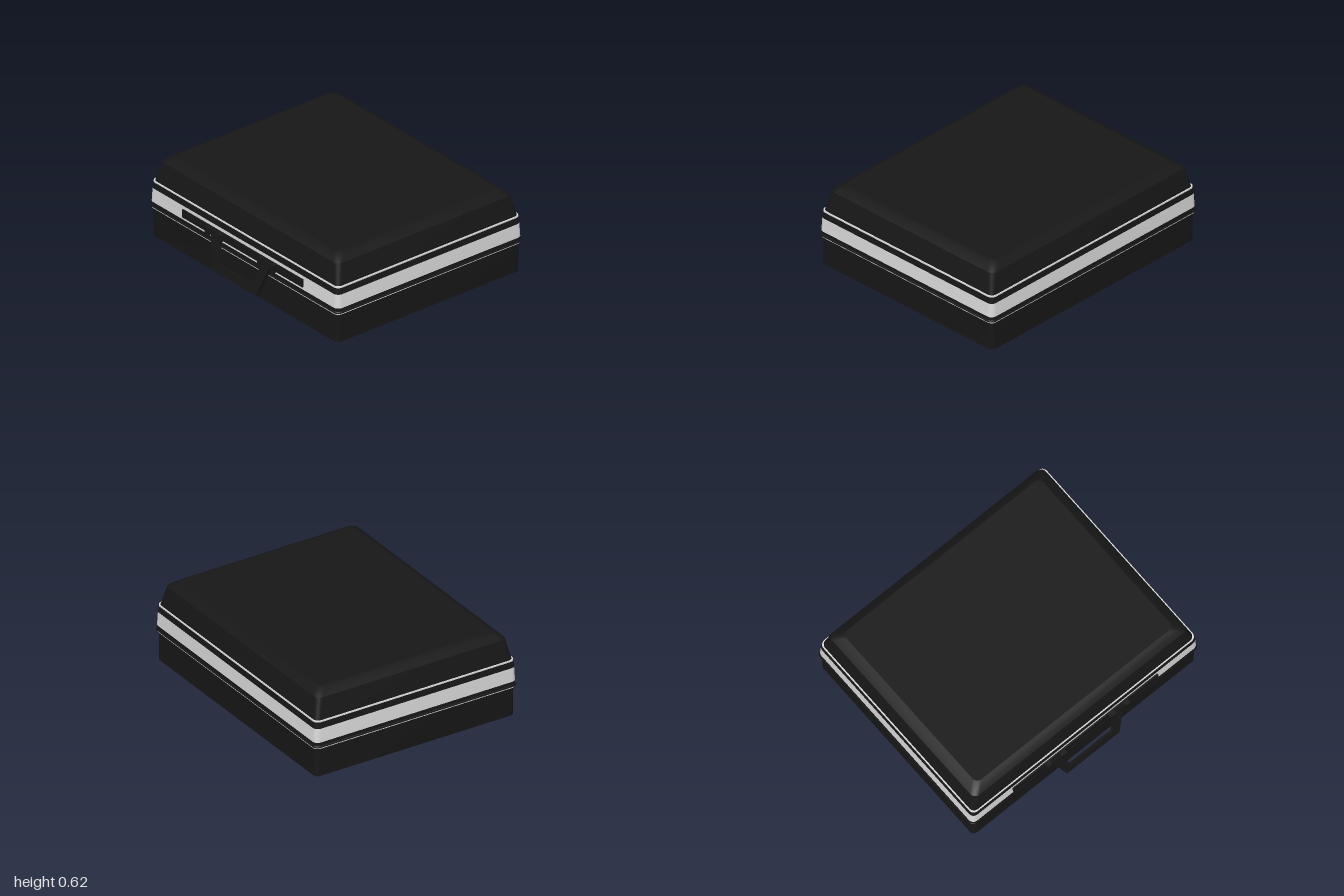
import * as THREE from 'three';
import { toCreasedNormals } from 'three/addons/utils/BufferGeometryUtils.js';

const CZ = -0.036; // centre of the case body in z

// Rounded rectangle ring, counter-clockwise seen from above
function ring([y, hx, hz, r]) {
  const pts = [], steps = 6;
  [[1, 1], [1, -1], [-1, -1], [-1, 1]].forEach(([sx, sz], c) => {
    for (let i = 0; i <= steps; i++) {
      const a = (1 - c - i / steps) * Math.PI / 2;
      pts.push([sx * (hx - r) + r * Math.cos(a), y, CZ + sz * (hz - r) + r * Math.sin(a)]);
    }
  });
  return pts;
}

// Skin stacked sections [y, halfX, halfZ, cornerRadius], listed upwards
function loft(sections, capBottom, capTop) {
  const rings = sections.map(ring), v = [], n = rings[0].length;
  const tri = (a, b, c) => v.push(...a, ...b, ...c);
  for (let i = 0; i < n; i++) {
    const j = (i + 1) % n;
    for (let k = 0; k + 1 < rings.length; k++) {
      const lo = rings[k], hi = rings[k + 1];
      tri(lo[i], lo[j], hi[j]);
      tri(lo[i], hi[j], hi[i]);
    }
    const first = rings[0], last = rings[rings.length - 1];
    if (capBottom) tri([0, first[0][1], CZ], first[j], first[i]);
    if (capTop) tri([0, last[0][1], CZ], last[i], last[j]);
  }
  const g = new THREE.BufferGeometry();
  g.setAttribute('position', new THREE.Float32BufferAttribute(v, 3));
  return toCreasedNormals(g, 0.3);
}

export function createModel() {
  const group = new THREE.Group();
  group.name = 'briefcase';
  const black = new THREE.MeshStandardMaterial({ color: 0x171717 });
  black.name = 'black shell';
  const silver = new THREE.MeshStandardMaterial({ color: 0xdadada });
  silver.name = 'silver trim';

  const add = (name, geometry, material, x = 0, y = 0, z = 0, parent = group) => {
    const m = new THREE.Mesh(geometry, material);
    m.name = name;
    m.position.set(x, y, z);
    parent.add(m);
    return m;
  };
  const box = (name, mat, w, h, d, x, y, z, parent) =>
    add(name, new THREE.BoxGeometry(w, h, d), mat, x, y, z, parent);

  // Shell, stacked from the ground up
  add('lowerShell', loft([
    [0, 0.978, 0.796, 0.035], [0.206, 0.98, 0.798, 0.035],
  ], true, false), black);
  add('lowerRim', loft([
    [0.206, 0.978, 0.796, 0.035], [0.206, 0.99, 0.805, 0.04], [0.217, 0.991, 0.806, 0.04],
  ]), black);
  add('lowerTrim', loft([[0.217, 0.991, 0.806, 0.04], [0.227, 0.991, 0.806, 0.04]]), silver);
  // overhanging lip, then the band above it
  add('lowerBand', loft([
    [0.227, 0.991, 0.806, 0.04], [0.227, 0.997, 0.811, 0.04], [0.235, 0.996, 0.81, 0.04],
    [0.24, 0.992, 0.807, 0.04], [0.265, 0.992, 0.807, 0.04],
  ]), black);
  add('silverBand', loft([[0.265, 0.992, 0.807, 0.04], [0.368, 0.987, 0.803, 0.04]]), silver);
  add('upperBand', loft([[0.368, 0.987, 0.803, 0.04], [0.414, 0.982, 0.799, 0.04]]), black);
  add('upperTrim', loft([
    [0.414, 0.982, 0.799, 0.04], [0.424, 0.981, 0.798, 0.04], [0.424, 0.973, 0.791, 0.04],
  ]), silver);
  add('lid', loft([
    [0.424, 0.973, 0.791, 0.04], [0.573, 0.938, 0.761, 0.045],
    [0.602, 0.9, 0.728, 0.045], [0.617, 0.865, 0.697, 0.045],
  ], false, true), black);

  // Lock plate across the front
  box('lockPlate', black, 1.27, 0.058, 0.02, -0.003, 0.315, 0.77);

  // Handle mounts, a pair of lugs on each side
  for (const s of [-1, 1]) {
    const mount = new THREE.Group();
    mount.name = s > 0 ? 'leftHandleMount' : 'rightHandleMount';
    group.add(mount);
    box('outerLug', black, 0.042, 0.054, 0.04, s * 0.342, 0.317, 0.79, mount);
    box('innerLug', black, 0.046, 0.054, 0.04, s * 0.215, 0.317, 0.79, mount);
    box('hingePin', black, 0.12, 0.018, 0.018, s * 0.278, 0.325, 0.788, mount);
  }

  // Hanging handle, tilted away from the case
  const outline = [
    [-0.318, 0], [-0.23, -0.27], [0.23, -0.27], [0.318, 0],
    [0.236, 0], [0.184, -0.206], [-0.184, -0.206], [-0.236, 0],
  ];
  const shape = new THREE.Shape(outline.map(([x, y]) => new THREE.Vector2(x, y)));
  const grip = new THREE.ExtrudeGeometry(shape, { depth: 0.018, bevelEnabled: false });
  // the back face slopes so the arms are thicker near the hinge
  const p = grip.attributes.position;
  for (let i = 0; i < p.count; i++) {
    if (p.getZ(i) < 0.01) p.setZ(i, -0.016 * (1 + p.getY(i) / 0.27));
  }
  grip.computeVertexNormals();
  add('handle', grip, black, 0, 0.335, 0.777).rotation.x = -0.21;
  return group;
}
